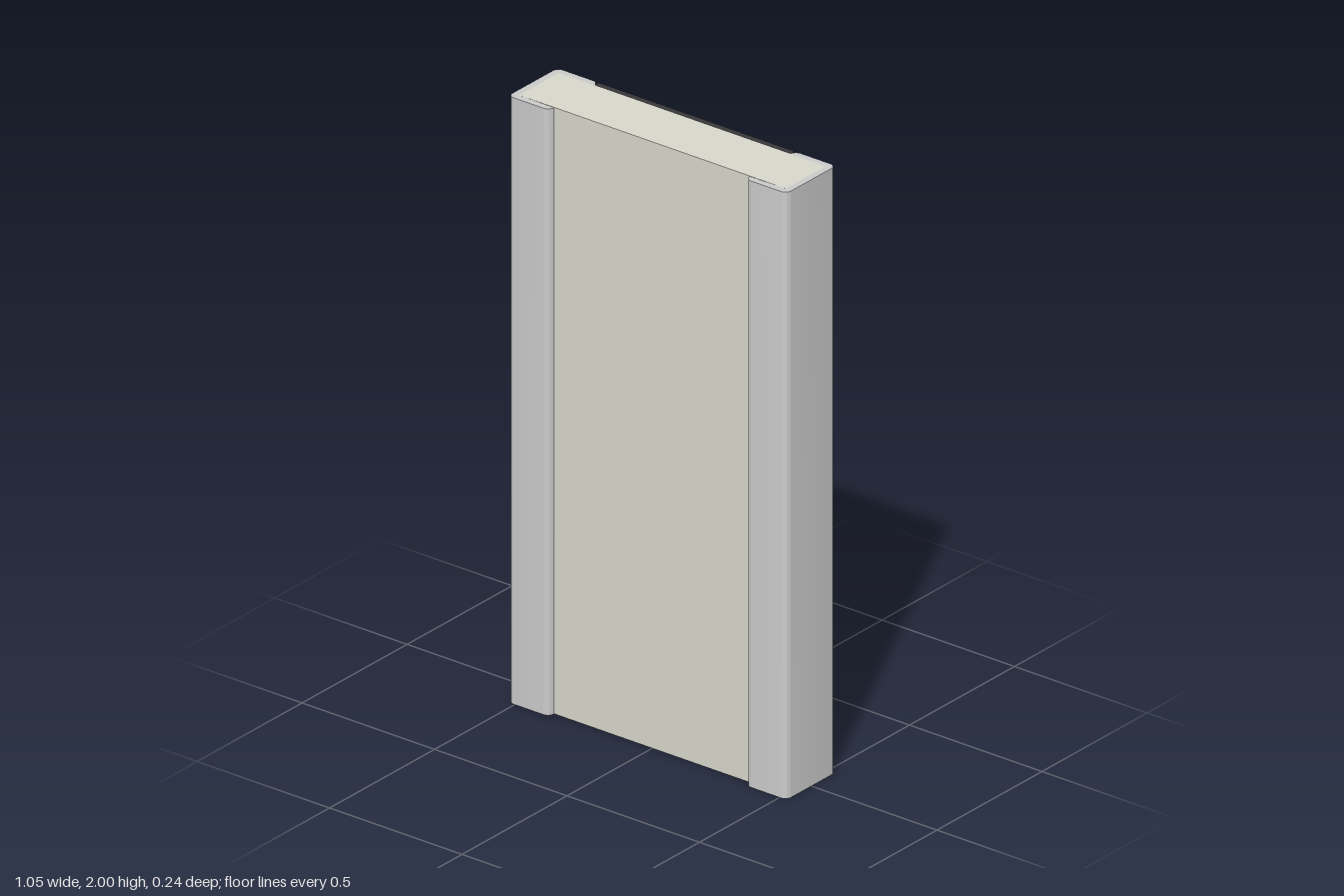
import * as THREE from 'three';
import { toCreasedNormals } from 'three/addons/utils/BufferGeometryUtils.js';

const HEIGHT = 2;
const BODY_X = 0.503, BODY_FRONT = 0.094, BODY_BACK = -0.096; // ceramic core
const CAP_IN = 0.37, CAP_OUT = 0.526, CAP_Z = 0.118, R = 0.022; // end caps

const material = (color) => new THREE.MeshStandardMaterial({ color });

// Upright slab between two z values
function slab(name, halfWidth, back, front, mat) {
  const mesh = new THREE.Mesh(new THREE.BoxGeometry(halfWidth * 2, HEIGHT, front - back), mat);
  mesh.position.set(0, HEIGHT / 2, (front + back) / 2);
  mesh.name = name;
  return mesh;
}

// C-shaped cap with rounded corners wrapping one long edge; shape y is -z
function endCap(name, side, mat) {
  const s = new THREE.Shape();
  const arc = (x, y, from) => s.absarc(x, y, R, from, from + Math.PI / 2, false);
  s.moveTo(CAP_IN, -BODY_FRONT);
  arc(CAP_IN + R, -CAP_Z + R, Math.PI);
  arc(CAP_OUT - R, -CAP_Z + R, -Math.PI / 2);
  arc(CAP_OUT - R, CAP_Z - R, 0);
  arc(CAP_IN + R, CAP_Z - R, Math.PI / 2);
  s.lineTo(CAP_IN, -BODY_BACK);
  s.lineTo(BODY_X, -BODY_BACK);
  s.lineTo(BODY_X, -BODY_FRONT);
  s.closePath();
  const extruded = new THREE.ExtrudeGeometry(s, { depth: HEIGHT, bevelEnabled: false, curveSegments: 8 });
  extruded.rotateX(-Math.PI / 2);
  const mesh = new THREE.Mesh(toCreasedNormals(extruded, Math.PI / 5), mat);
  // The mirrored cap flips in x; the renderer corrects its winding
  mesh.scale.x = side;
  mesh.name = name;
  return mesh;
}

export function createModel() {
  const group = new THREE.Group();
  group.name = 'chipResistor';
  const metal = material(0xcccccc);

  group.add(slab('ceramicBody', BODY_X, BODY_BACK, BODY_FRONT, material(0xd9d8cc)));
  group.add(slab('darkCoating', CAP_IN, -CAP_Z, BODY_BACK, material(0x38383a)));
  group.add(endCap('leftTerminal', 1, metal), endCap('rightTerminal', -1, metal));
  return group;
}
